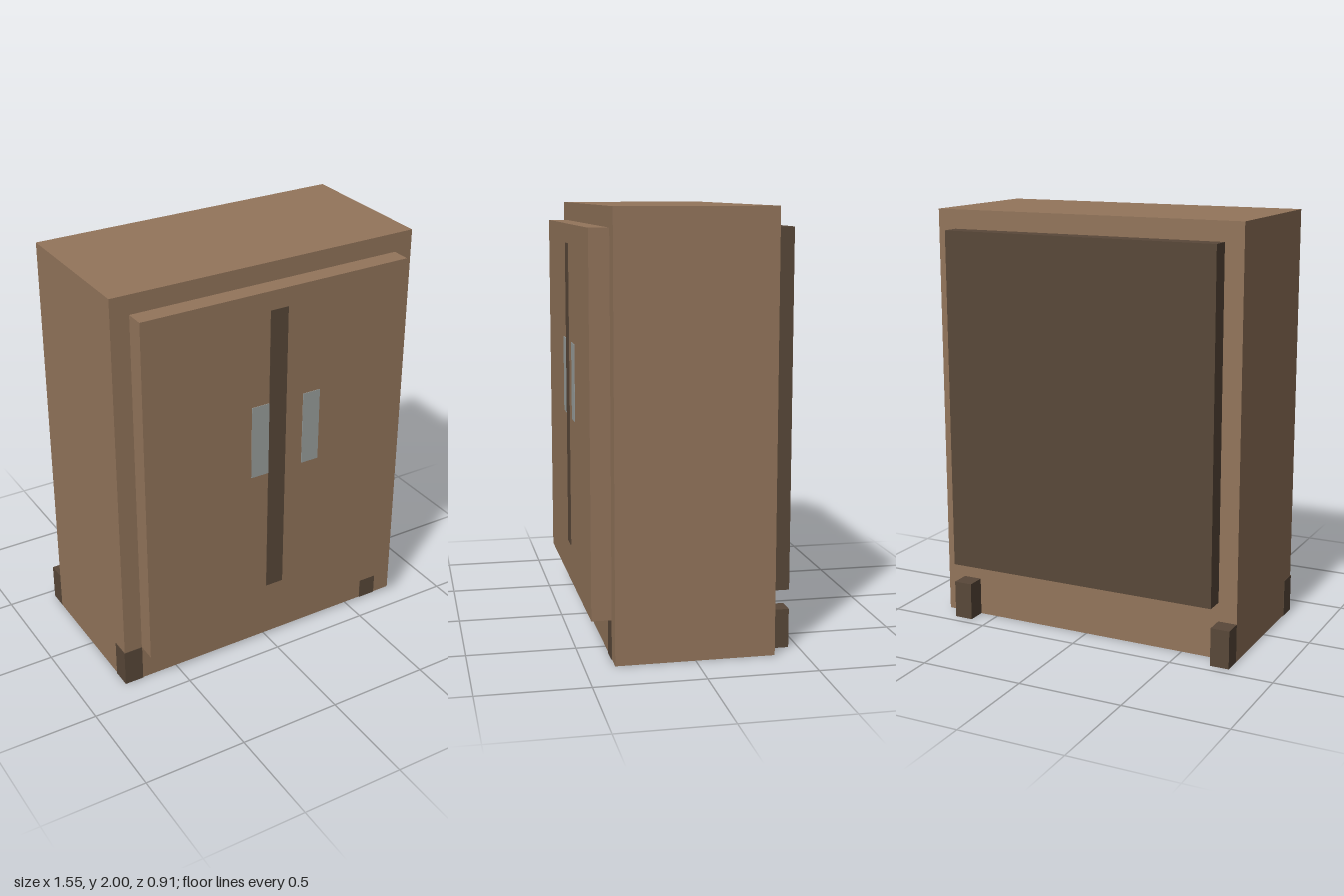
import * as THREE from 'three';

const U = 1 / 11; // modelling unit: the cabinet is 22 units tall
const SKIN = 0.03; // how far flush inlays stand proud, in units

export function createModel() {
  const group = new THREE.Group();
  const material = (name, color) => {
    const m = new THREE.MeshStandardMaterial({ color });
    m.name = name;
    return m;
  };
  const wood = material('brown wood', 0x93755b);
  const dark = material('dark wood', 0x594839);
  const metal = material('grey metal', 0x9ba09e);

  // Box given by its lower and upper corners, in units
  const block = (name, mat, [x0, y0, z0], [x1, y1, z1]) => {
    const geometry = new THREE.BoxGeometry((x1 - x0) * U, (y1 - y0) * U, (z1 - z0) * U);
    const mesh = new THREE.Mesh(geometry, mat);
    mesh.position.set((x0 + x1) / 2 * U, (y0 + y1) / 2 * U, (z0 + z1) / 2 * U);
    mesh.name = name;
    group.add(mesh);
  };

  // Carcass with raised door front and back panel
  block('cabinetBody', wood, [-8.5, 0, -4], [8.5, 22, 4]);
  block('doorFront', wood, [-7.5, 2, 4], [7.5, 21, 5]);
  block('backPanel', dark, [-7.5, 3, -5], [7.5, 21, -4]);

  // Inlays on the door: centre gap and two handles
  block('doorGap', dark, [-0.5, 4, 4.9], [0.5, 20, 5 + SKIN]);
  block('rightHandle', metal, [-1.5, 11, 4.9], [-0.5, 15, 5 + SKIN]);
  block('leftHandle', metal, [1.5, 11, 4.9], [2.5, 15, 5 + SKIN]);

  // Feet: the front pair is sunk into the body, the back pair stands free
  for (const [side, x] of [['right', -8.5], ['left', 6.5]]) {
    const outer = side === 'right' ? x - SKIN : x;
    block(side + 'FrontFoot', dark, [outer, -SKIN / 3, 3], [x + 1, 2, 4 + SKIN]);
    block(side + 'BackFoot', dark, [x, 0, -5], [x + 1, 2, -4]);
  }
  return group;
}
